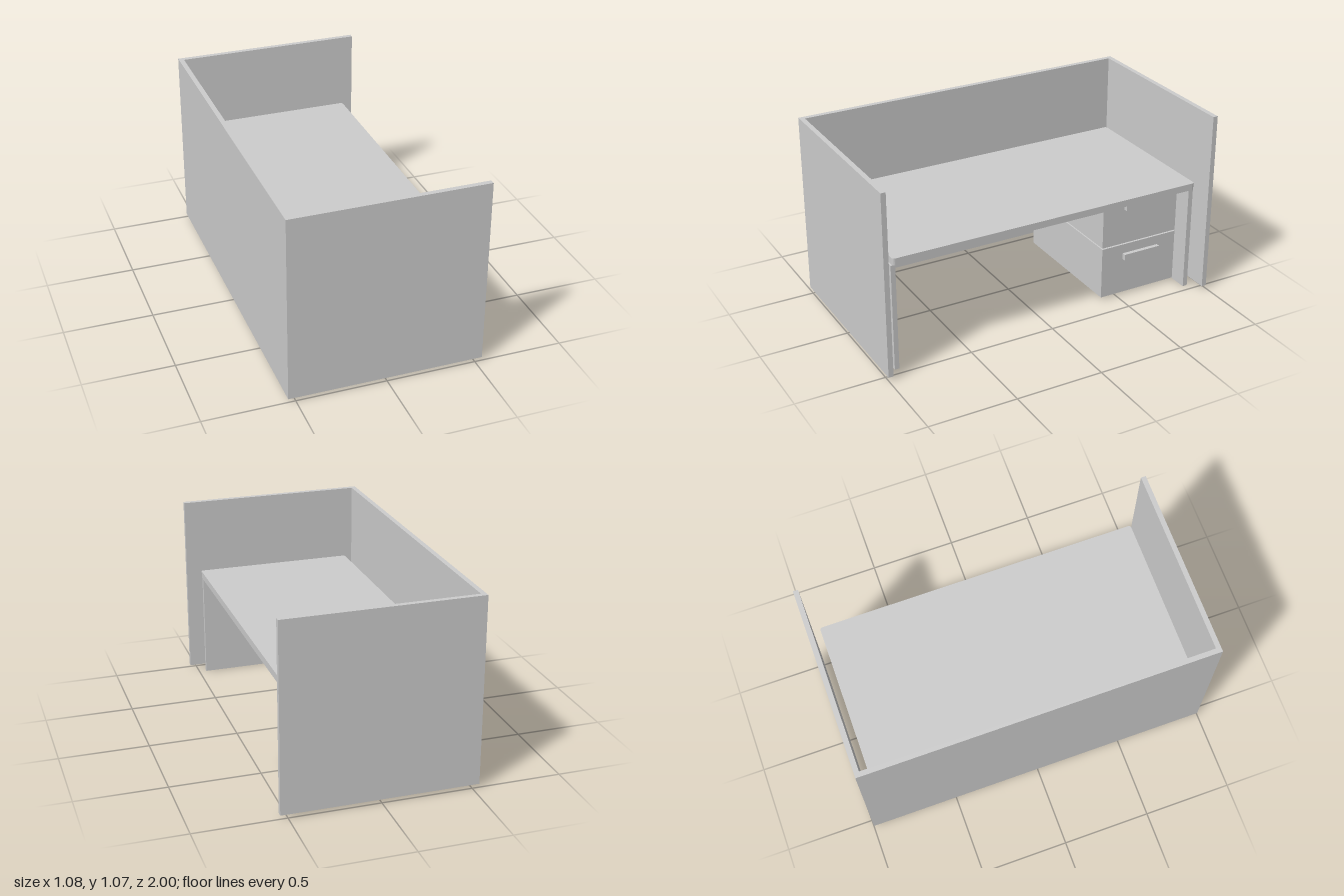
import * as THREE from 'three';

const material = new THREE.MeshStandardMaterial({ color: 0xcccccc, flatShading: true });

// Box given by its min and max corners
function block(name, [x0, y0, z0], [x1, y1, z1]) {
  const mesh = new THREE.Mesh(new THREE.BoxGeometry(x1 - x0, y1 - y0, z1 - z0), material);
  mesh.name = name;
  mesh.position.set((x0 + x1) / 2, (y0 + y1) / 2, (z0 + z1) / 2);
  return mesh;
}

// Horizontal slab with small rounded corners in plan
function deskTop([x0, y0, z0], [x1, y1, z1], r) {
  const s = new THREE.Shape();
  // shape y maps to -z once laid flat
  const a = -z1, b = -z0;
  s.moveTo(x0 + r, a);
  s.lineTo(x1 - r, a);
  s.absarc(x1 - r, a + r, r, -Math.PI / 2, 0);
  s.absarc(x1 - r, b - r, r, 0, Math.PI / 2);
  s.absarc(x0 + r, b - r, r, Math.PI / 2, Math.PI);
  s.absarc(x0 + r, a + r, r, Math.PI, Math.PI * 1.5);
  const geo = new THREE.ExtrudeGeometry(s, { depth: y1 - y0, bevelEnabled: false, curveSegments: 4 });
  geo.rotateX(-Math.PI / 2);
  geo.translate(0, y0, 0);
  const mesh = new THREE.Mesh(geo, material);
  mesh.name = 'deskTop';
  return mesh;
}

export function createModel() {
  const model = new THREE.Group();
  model.name = 'deskCubicle';

  // Privacy screens: one long panel and two end panels
  const screens = new THREE.Group();
  screens.name = 'privacyScreens';
  screens.add(
    block('longScreen', [-0.54, 0.02, -1], [-0.512, 1.07, 1]),
    block('endScreenFront', [-0.512, 0.02, 0.972], [0.54, 1.07, 1]),
    block('endScreenBack', [-0.512, 0.02, -1], [0.54, 1.07, -0.972])
  );

  // Work surface on two slab legs
  const desk = new THREE.Group();
  desk.name = 'desk';
  desk.add(
    deskTop([-0.45, 0.615, -0.93], [0.465, 0.655, 0.918], 0.015),
    block('legFront', [-0.435, 0, 0.901], [0.457, 0.615, 0.927]),
    block('legBack', [-0.435, 0, -0.927], [0.457, 0.615, -0.899])
  );

  // Two stacked drawers with bar handles
  const pedestal = new THREE.Group();
  pedestal.name = 'drawerPedestal';
  for (const [name, bottom, top, handleY] of [
    ['lowerDrawer', 0.017, 0.322, 0.23],
    ['upperDrawer', 0.33, 0.615, 0.54],
  ]) {
    pedestal.add(
      block(name, [-0.405, bottom, -0.885], [0.365, top, -0.398]),
      block(name + 'Handle', [0.365, handleY, -0.765], [0.388, handleY + 0.036, -0.535])
    );
  }

  model.add(screens, desk, pedestal);
  return model;
}
